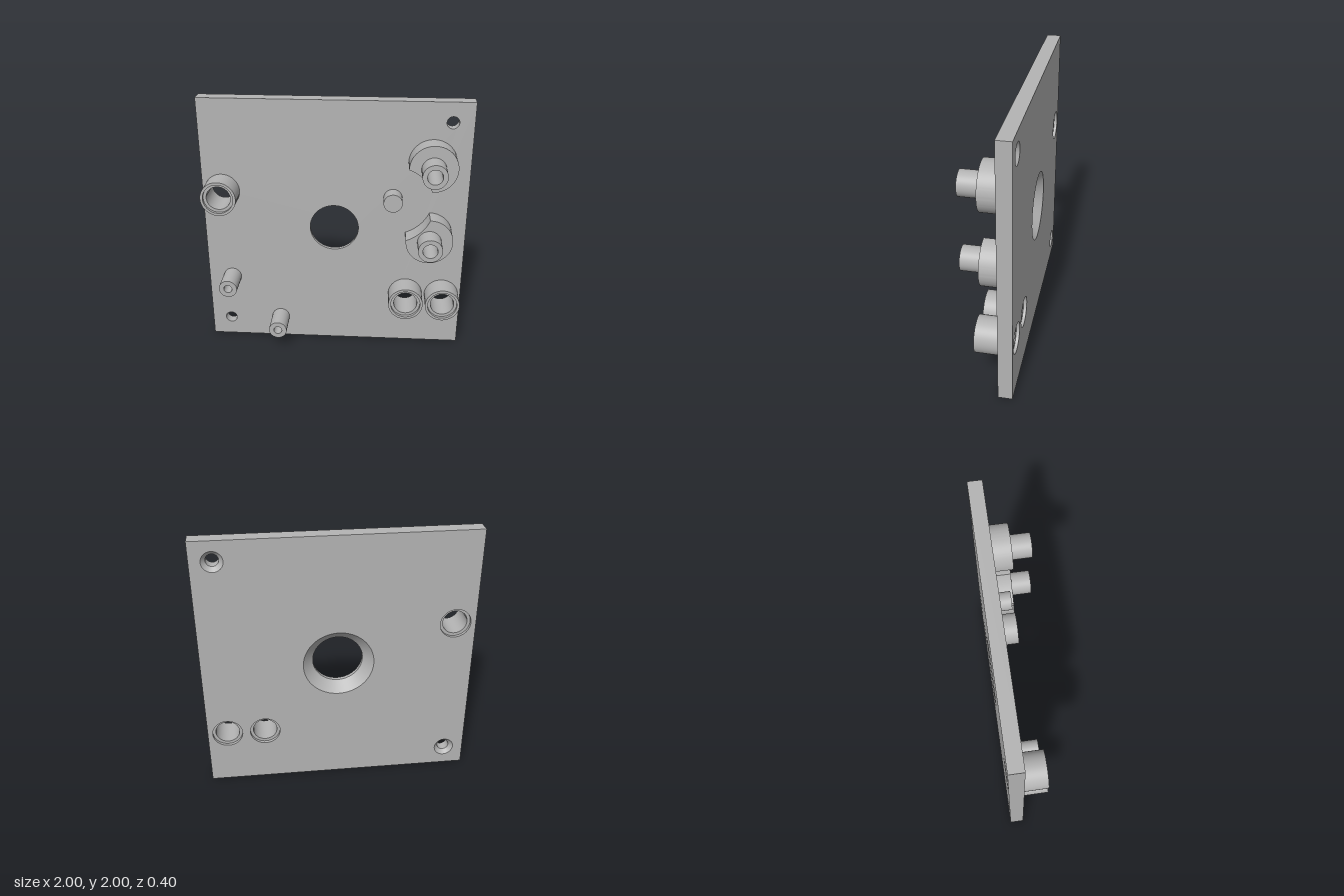
import * as THREE from 'three';
import { mergeGeometries, toCreasedNormals } from 'three/addons/utils/BufferGeometryUtils.js';

const BACK = -0.2, FRONT = -0.095, SEGMENTS = 64;

// Revolves a [radius, z] profile about the z axis, keeping every corner sharp
function turned(profile) {
  const rings = [];
  for (let i = 0; i < profile.length - 1; i++) {
    const points = [profile[i], profile[i + 1]].map(([r, z]) => new THREE.Vector2(r, z));
    rings.push(new THREE.LatheGeometry(points, SEGMENTS));
  }
  return mergeGeometries(rings).rotateX(Math.PI / 2);
}

// Square plate face pierced by [x, y, radius] holes
function plateFace(holes) {
  const shape = new THREE.Shape();
  shape.moveTo(-1, 0).lineTo(1, 0).lineTo(1, 2).lineTo(-1, 2).closePath();
  for (const [x, y, r] of holes) {
    shape.holes.push(new THREE.Path().absarc(x, y, r, 0, Math.PI * 2, true));
  }
  return new THREE.ShapeGeometry(shape, SEGMENTS / 2);
}

// Disc with a circular bite centred at (dx, dy)
function bittenDisc(dx, dy, radius, bite, bore) {
  const d = Math.hypot(dx, dy), th = Math.atan2(dy, dx);
  const a = Math.acos((radius ** 2 + d ** 2 - bite ** 2) / (2 * radius * d));
  const b = Math.acos((bite ** 2 + d ** 2 - radius ** 2) / (2 * bite * d));
  const shape = new THREE.Shape();
  shape.absarc(0, 0, radius, th + a, th - a + Math.PI * 2, false);
  shape.absarc(dx, dy, bite, th + Math.PI + b, th + Math.PI - b, true);
  shape.holes.push(new THREE.Path().absarc(0, 0, bore, 0, Math.PI * 2, true));
  const geometry = new THREE.ExtrudeGeometry(shape, { depth: 0.05 - FRONT, bevelEnabled: false, curveSegments: 48 });
  return toCreasedNormals(geometry.translate(0, 0, FRONT), 0.5);
}

export function createModel() {
  const model = new THREE.Group();
  const grey = new THREE.MeshStandardMaterial({ color: 0xb4b4b4 });
  grey.name = 'grey';
  const add = (name, geometry, x = 0, y = 0, parent = model) => {
    const mesh = new THREE.Mesh(geometry, grey);
    mesh.name = name;
    mesh.position.set(x, y, 0);
    parent.add(mesh);
    return mesh;
  };

  // Countersunk holes: x, y, front radius, back radius
  const countersinks = [
    [0, 1, 0.185, 0.26],
    [0.845, 1.85, 0.045, 0.075],
    [-0.85, 0.155, 0.045, 0.075],
  ];
  const bushings = [[-0.85, 1.285], [0.565, 0.435], [0.85, 0.435]];

  // Plate: two pierced faces and a rim
  const plate = new THREE.Group();
  plate.name = 'plate';
  model.add(plate);
  const frontHoles = [...countersinks.map(([x, y, r]) => [x, y, r]), ...bushings.map(([x, y]) => [x, y, 0.133])];
  const backHoles = [...countersinks.map(([x, y, , r]) => [-x, y, r]), ...bushings.map(([x, y]) => [-x, y, 0.113])];
  add('plateFront', plateFace(frontHoles).translate(0, 0, FRONT), 0, 0, plate);
  add('plateBack', plateFace(backHoles).rotateY(Math.PI).translate(0, 0, BACK), 0, 0, plate);
  const rim = new THREE.CylinderGeometry(Math.SQRT2, Math.SQRT2, FRONT - BACK, 4, 1, true, Math.PI / 4)
    .rotateX(Math.PI / 2).translate(0, 1, (FRONT + BACK) / 2).toNonIndexed();
  rim.computeVertexNormals();
  add('plateRim', rim, 0, 0, plate);
  for (const [x, y, r, R] of countersinks) {
    add('countersunkHole', turned([[r, FRONT], [r, BACK + R - r], [R, BACK]]), x, y, plate);
  }

  // Bushings, counterbored at both ends
  const bushing = turned([
    [0.133, FRONT], [0.133, 0.075], [0.113, 0.075], [0.113, 0.052],
    [0.09, 0.052], [0.09, BACK + 0.023], [0.113, BACK + 0.023], [0.113, BACK],
  ]);
  for (const [x, y] of bushings) add('bushing', bushing, x, y);

  // Short solid pin between the two bosses
  const pin = [0.44, 1.26];
  add('shortPin', turned([[0.07, FRONT], [0.07, 0.015], [0, 0.015]]), ...pin);

  // Bosses cut away around the pin, each with a hollow post
  const post = turned([[0.09, FRONT], [0.09, 0.2], [0.055, 0.2], [0.055, FRONT], [0, FRONT]]);
  for (const [x, y] of [[0.72, 1.547], [0.72, 0.97]]) {
    add('boss', bittenDisc(pin[0] - x, pin[1] - y, 0.176, 0.3, 0.09), x, y);
    add('hollowPost', post, x, y);
  }

  // Slim standoffs with blind holes
  const standoff = turned([[0.07, FRONT], [0.07, 0.115], [0.032, 0.115], [0.032, FRONT], [0, FRONT]]);
  for (const [x, y] of [[-0.815, 0.545], [-0.437, 0.18]]) add('standoff', standoff, x, y);

  return model;
}
